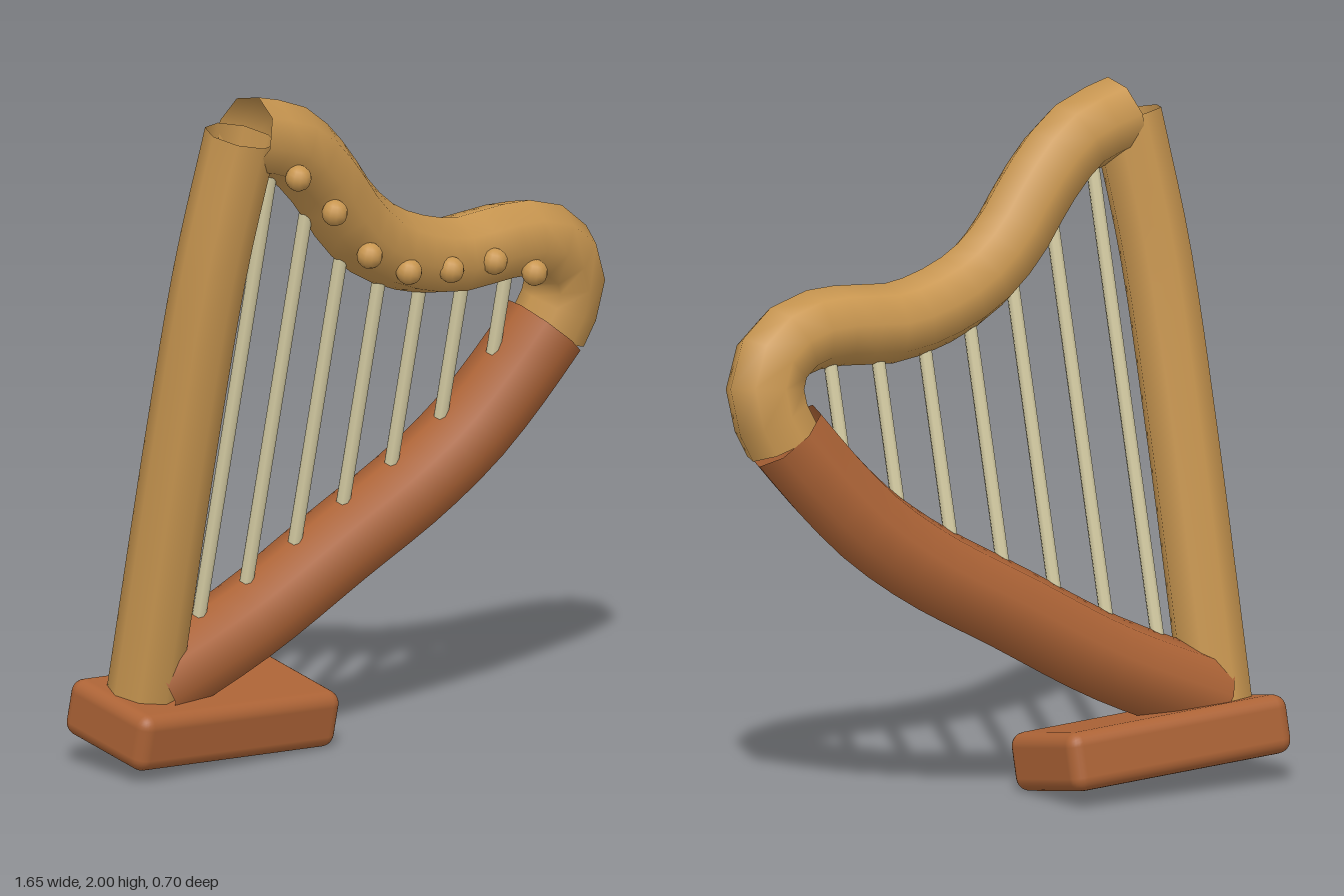
import * as THREE from 'three';
import { RoundedBoxGeometry } from 'three/addons/geometries/RoundedBoxGeometry.js';

export function createModel() {
  const material = (name, color) => {
    const m = new THREE.MeshStandardMaterial({ color, side: THREE.DoubleSide });
    m.name = name;
    return m;
  };
  const paleWood = material('paleWood', 0xc89650);
  const redWood = material('redWood', 0xac6336);
  const stringCream = material('stringCream', 0xd6cda4);

  const model = new THREE.Group();
  model.name = 'harp';

  // The whole harp leans forward and is turned a little to one side
  const body = new THREE.Group();
  body.name = 'leaningHarp';
  body.rotation.set(0.175, -0.13, -0.03);
  body.position.z = -0.1;
  model.add(body);

  const add = (name, geometry, mat, x = 0, y = 0, z = 0) => {
    const mesh = new THREE.Mesh(geometry, mat);
    mesh.name = name;
    mesh.position.set(x, y, z);
    body.add(mesh);
    return mesh;
  };

  // Open eight-sided tube through points in the plane of the strings
  const beam = (name, points, radius, segments, mat) => {
    const curve = new THREE.CatmullRomCurve3(points.map(([x, y]) => new THREE.Vector3(x, y, 0)));
    add(name, new THREE.TubeGeometry(curve, segments, radius, 8, false), mat);
  };

  // Foot
  add('base', new RoundedBoxGeometry(0.74, 0.17, 0.36, 3, 0.04), redWood, -0.44, 0.098, 0.012);

  // Frame
  beam('pillar', [[-0.667, 0.18], [-0.676, 0.98], [-0.67, 1.487], [-0.637, 1.884]], 0.105, 16, paleWood);
  beam('neck', [
    [-0.622, 1.885], [-0.46, 1.843], [-0.325, 1.739], [-0.169, 1.575], [-0.025, 1.481], [0.21, 1.422],
    [0.411, 1.443], [0.552, 1.435], [0.655, 1.365], [0.682, 1.265], [0.642, 1.141],
  ], 0.115, 20, paleWood);
  beam('soundbox', [
    [-0.652, 0.198], [-0.314, 0.369], [-0.017, 0.563], [0.23, 0.723], [0.398, 0.864], [0.525, 1.013], [0.631, 1.161],
  ], 0.125, 18, redWood);

  // Strings, each with a tuning peg on the front of the neck
  const pegHeights = [1.78, 1.656, 1.507, 1.44, 1.428, 1.436, 1.384];
  pegHeights.forEach((top, i) => {
    const x = -0.494 + 0.159 * i;
    const bottom = 0.33 + 0.108 * i;
    const length = top - 0.01 - bottom;
    add('string' + (i + 1), new THREE.CylinderGeometry(0.02, 0.02, length, 8), stringCream, x - 0.008, bottom + length / 2, 0);
    add('peg' + (i + 1), new THREE.SphereGeometry(0.038, 12, 8), paleWood, x, top, 0.112);
  });

  return model;
}
